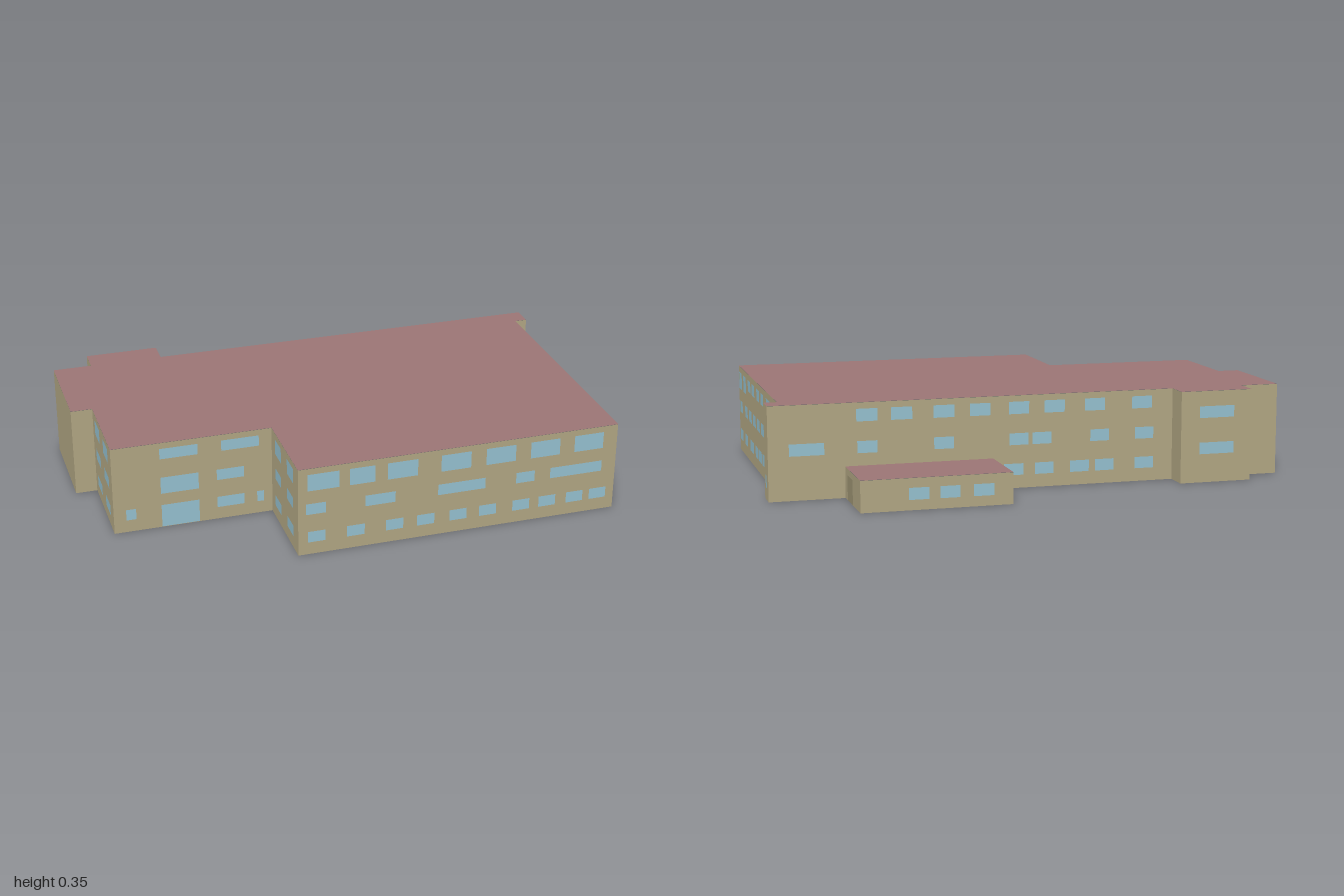
import * as THREE from 'three';

const mat = (color) => new THREE.MeshStandardMaterial({ color, roughness: 0.9 });
const wallMat = mat(0xb0a582);
const roofMat = mat(0x9b7474);
const baseMat = mat(0x606060);
const glassMat = mat(0x94bfce);
const doorMat = mat(0x9b9272);

// Flat-roofed block over an [x, z] footprint
function block(name, points, height) {
  const group = new THREE.Group();
  group.name = name;
  const shape = new THREE.Shape(points.map(([x, z]) => new THREE.Vector2(x, -z)));
  const walls = new THREE.Mesh(
    new THREE.ExtrudeGeometry(shape, { depth: height - 0.001, bevelEnabled: false }),
    [baseMat, wallMat]
  );
  walls.name = name + 'Walls';
  const roof = new THREE.Mesh(new THREE.ShapeGeometry(shape), roofMat);
  roof.name = name + 'Roof';
  roof.position.z = height;
  group.add(walls, roof);
  group.rotation.x = -Math.PI / 2;
  return group;
}

// Facing angle, and sign from world x or z to the wall's own horizontal axis
const FACING = {
  front: [0, 1],
  left: [Math.PI / 2, -1],
  back: [Math.PI, -1],
  right: [-Math.PI / 2, 1],
};

// Panels on one wall; each row is [bottom, top, [[from, to], ...]]
function panels(name, facing, distance, rows, material = glassMat) {
  const group = new THREE.Group();
  group.name = name;
  const [angle, sign] = FACING[facing];
  group.rotation.y = angle;
  for (const [y0, y1, spans] of rows) {
    for (const [a, b] of spans) {
      const pane = new THREE.Mesh(new THREE.PlaneGeometry(Math.abs(b - a), y1 - y0), material);
      pane.name = name + 'Pane';
      pane.position.set(sign * (a + b) / 2, (y0 + y1) / 2, distance + 0.0015);
      group.add(pane);
    }
  }
  return group;
}

// Equal-width spans around a list of centres
const spans = (width, ...centres) => centres.map((c) => [c - width / 2, c + width / 2]);

export function createModel() {
  const model = new THREE.Group();
  model.name = 'building';

  // Main three-storey building, with stepped corners and a rear bay
  model.add(block('mainBuilding', [
    [-0.305, 0.68], [0.947, 0.68], [0.947, -0.33], [0.997, -0.33], [0.997, -0.412],
    [-0.565, -0.412], [-0.565, -0.507], [-0.85, -0.507], [-0.85, -0.412], [-1, -0.412],
    [-1, -0.024], [-0.917, -0.024], [-0.917, 0.328], [-0.305, 0.328],
  ], 0.354));

  // Low rear annex
  model.add(block('annex', [[0.15, -0.412], [0.713, -0.412], [0.713, -0.682], [0.15, -0.682]], 0.118));

  // Front wing
  model.add(panels('frontWingWindows', 'front', 0.68, [
    [0.263, 0.33, [[-0.27, -0.15], [-0.11, -0.012], [0.035, 0.152], [0.243, 0.36], [0.42, 0.537], [0.597, 0.714], [0.773, 0.89]]],
    [0.166, 0.21, [[-0.275, -0.2], [-0.05, 0.067], [0.233, 0.42], [0.543, 0.617], [0.68, 0.89]]],
    [0.05, 0.094, spans(0.068, -0.235, -0.085, 0.065, 0.187, 0.315, 0.433, 0.567, 0.673, 0.785, 0.88)],
  ]));

  // Recessed front wall, with the glazed entrance
  model.add(panels('recessedFrontWindows', 'front', 0.328, [
    [0.287, 0.33, [[-0.735, -0.59], [-0.5, -0.355]]],
    [0.142, 0.21, [[-0.735, -0.59]]],
    [0.166, 0.21, [[-0.52, -0.415]]],
    [0.002, 0.094, [[-0.735, -0.59]]],
    [0.05, 0.094, [[-0.87, -0.832], [-0.52, -0.415], [-0.365, -0.338]]],
  ]));

  // Long side on +x
  model.add(panels('leftSideWindows', 'left', 0.947, [
    [0.262, 0.33, spans(0.073, 0.627, 0.51)],
    [0.284, 0.33, [...spans(0.072, 0.38, 0.273, 0.143, 0.035), ...spans(0.096, -0.117, -0.247)]],
    [0.165, 0.212, [...spans(0.072, 0.617, 0.473, 0.36, 0.25, 0.143, 0.035), ...spans(0.096, -0.117, -0.247)]],
    [0.048, 0.094, [...spans(0.072, 0.617, 0.484, 0.197, 0.105, 0.018), [0.282, 0.378]]],
  ]));
  model.add(panels('cornerWindow', 'left', 0.997, [[0.048, 0.094, [[-0.36, -0.385]]]]));

  // Long rear wall
  model.add(panels('rearWindows', 'back', 0.412, [
    [0.283, 0.33, spans(0.08, 0.63, 0.5, 0.34, 0.2, 0.05, -0.09, -0.25, -0.44)],
    [0.165, 0.21, [[0.79, 0.92], ...spans(0.075, 0.63, 0.34, 0.05, -0.04, -0.27, -0.45)]],
    [0.05, 0.094, spans(0.075, 0.07, -0.05, -0.19, -0.29, -0.45)],
  ]));
  model.add(panels('rearBayWindows', 'back', 0.507, [
    [0.25, 0.295, [[-0.78, -0.64]]],
    [0.11, 0.155, [[-0.78, -0.64]]],
  ]));
  model.add(panels('annexWindows', 'back', 0.682, [[0.038, 0.082, spans(0.075, 0.5, 0.385, 0.26)]]));
  model.add(panels('annexDoor', 'left', 0.713, [[0.002, 0.094, [[-0.46, -0.553]]]], doorMat));

  // Walls on -x
  const storeys = [[0.27, 0.33], [0.165, 0.21], [0.05, 0.094]];
  model.add(panels('rightSideWindows', 'right', 0.917, storeys.map(([a, b]) => [a, b, spans(0.09, 0.07, 0.23)])));
  model.add(panels('wingSideWindows', 'right', 0.305, storeys.map(([a, b]) => [a, b, spans(0.08, 0.42, 0.58)])));

  return model;
}
